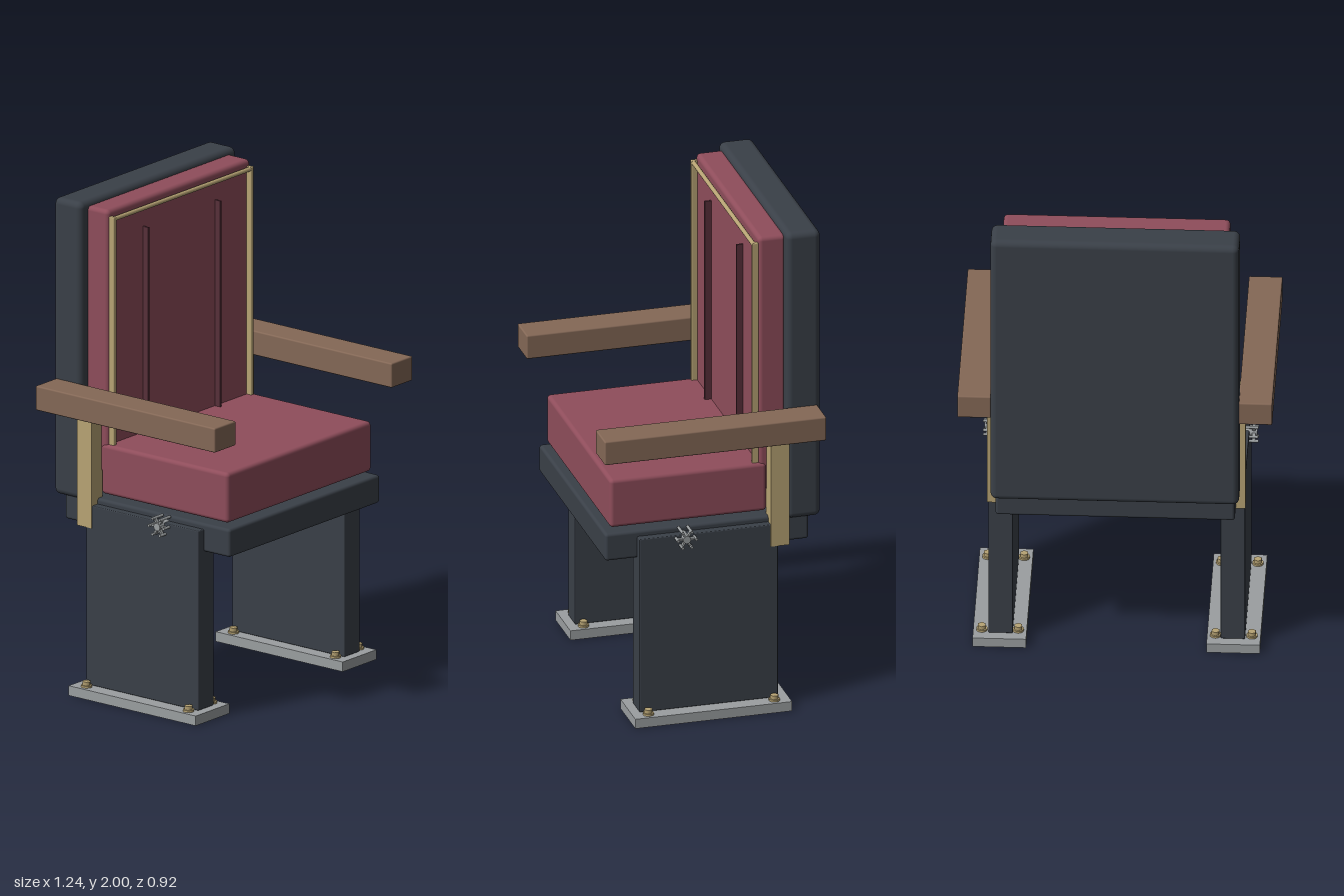
import * as THREE from 'three';
import { RoundedBoxGeometry } from 'three/addons/geometries/RoundedBoxGeometry.js';

const material = (name, color) => {
  const m = new THREE.MeshStandardMaterial({ color });
  m.name = name;
  return m;
};

export function createModel() {
  const red = material('red upholstery', 0x8f4d5b);
  const seamRed = material('dark red seam', 0x58303a);
  const dark = material('charcoal', 0x3a4048);
  const wood = material('brown wood', 0x846856);
  const brass = material('brass', 0xb8a474);
  const steel = material('steel', 0x9b9fa1);

  const model = new THREE.Group();
  model.name = 'auditoriumChair';

  const add = (parent, name, geometry, mat) => {
    const mesh = new THREE.Mesh(geometry, mat);
    mesh.name = name;
    parent.add(mesh);
    return mesh;
  };

  // Box given by its extents [min, max] on each axis, rounded if a radius is given
  const block = (parent, name, [x0, x1], [y0, y1], [z0, z1], mat, radius = 0) => {
    const size = [x1 - x0, y1 - y0, z1 - z0];
    const geometry = radius
      ? new RoundedBoxGeometry(...size, 3, radius)
      : new THREE.BoxGeometry(...size);
    const mesh = add(parent, name, geometry, mat);
    mesh.position.set((x0 + x1) / 2, (y0 + y1) / 2, (z0 + z1) / 2);
    return mesh;
  };

  // Cylinder lying along x
  const rod = (parent, name, radius, [x0, x1], y, z, mat, sides = 12) => {
    const mesh = add(parent, name, new THREE.CylinderGeometry(radius, radius, x1 - x0, sides), mat);
    mesh.rotation.z = Math.PI / 2;
    mesh.position.set((x0 + x1) / 2, y, z);
    return mesh;
  };

  // Seat and back
  block(model, 'backShell', [-0.488, 0.488], [0.783, 2], [-0.46, -0.32], dark, 0.025);
  block(model, 'backCushion', [-0.445, 0.445], [0.9, 1.98], [-0.33, -0.217], red, 0.018);
  block(model, 'seatCushion', [-0.45, 0.45], [0.815, 1.02], [-0.25, 0.39], red, 0.016);
  block(model, 'seatBase', [-0.47, 0.47], [0.685, 0.8], [-0.415, 0.415], dark, 0.012);
  block(model, 'seatSupport', [-0.38, 0.38], [0.79, 0.83], [-0.3, 0.33], dark);

  // Brass trim across the top of the back cushion
  rod(model, 'topTrim', 0.009, [-0.435, 0.435], 1.946, -0.203, brass);

  for (const side of [-1, 1]) {
    const half = new THREE.Group();
    half.name = side > 0 ? 'leftSide' : 'rightSide';
    model.add(half);
    const span = (a, b) => (side > 0 ? [a, b] : [-b, -a]);

    // Back cushion trim and stitched seam
    block(half, 'sideTrim', span(0.42, 0.438), [1.01, 1.955], [-0.22, -0.194], brass, 0.004);
    block(half, 'backSeam', span(0.221, 0.229), [1.01, 1.865], [-0.218, -0.19], seamRed);

    // Armrest and its bracket
    block(half, 'armrest', span(0.486, 0.618), [1.16, 1.26], [-0.445, 0.46], wood, 0.006);
    block(half, 'armBracket', span(0.44, 0.507), [0.685, 1.235], [-0.325, -0.25], brass);

    // Leg panel with foot plate
    block(half, 'leg', span(0.408, 0.504), [0.04, 0.777], [-0.28, 0.285], dark, 0.004);
    block(half, 'footPlate', span(0.354, 0.564), [0, 0.04], [-0.32, 0.32], steel);

    // Floor bolts with washers
    for (const x of [0.387, 0.53]) {
      for (const z of [-0.257, 0.257]) {
        const washer = add(half, 'washer', new THREE.CylinderGeometry(0.022, 0.022, 0.008, 16), brass);
        washer.position.set(side * x, 0.044, z);
        const bolt = add(half, 'boltHead', new THREE.CylinderGeometry(0.017, 0.017, 0.018, 6), brass);
        bolt.position.set(side * x, 0.054, z);
      }
    }

    // Hinge knob: hub, radial spokes and finger pins
    const knobY = 0.766;
    const knobZ = 0.1;
    rod(half, 'knobHub', 0.016, span(0.46, 0.535), knobY, knobZ, steel);
    for (let i = 0; i < 6; i++) {
      const a = (i * Math.PI) / 3;
      const [dy, dz] = [Math.sin(a), Math.cos(a)];
      rod(half, 'knobPin', 0.006, span(0.475, 0.54), knobY + dy * 0.037, knobZ + dz * 0.037, steel, 8);
      const spoke = add(half, 'knobSpoke', new THREE.BoxGeometry(0.014, 0.008, 0.037), steel);
      spoke.position.set(side * 0.522, knobY + dy * 0.018, knobZ + dz * 0.018);
      spoke.rotation.x = -a;
    }
  }

  model.position.x = -0.003;
  return model;
}
